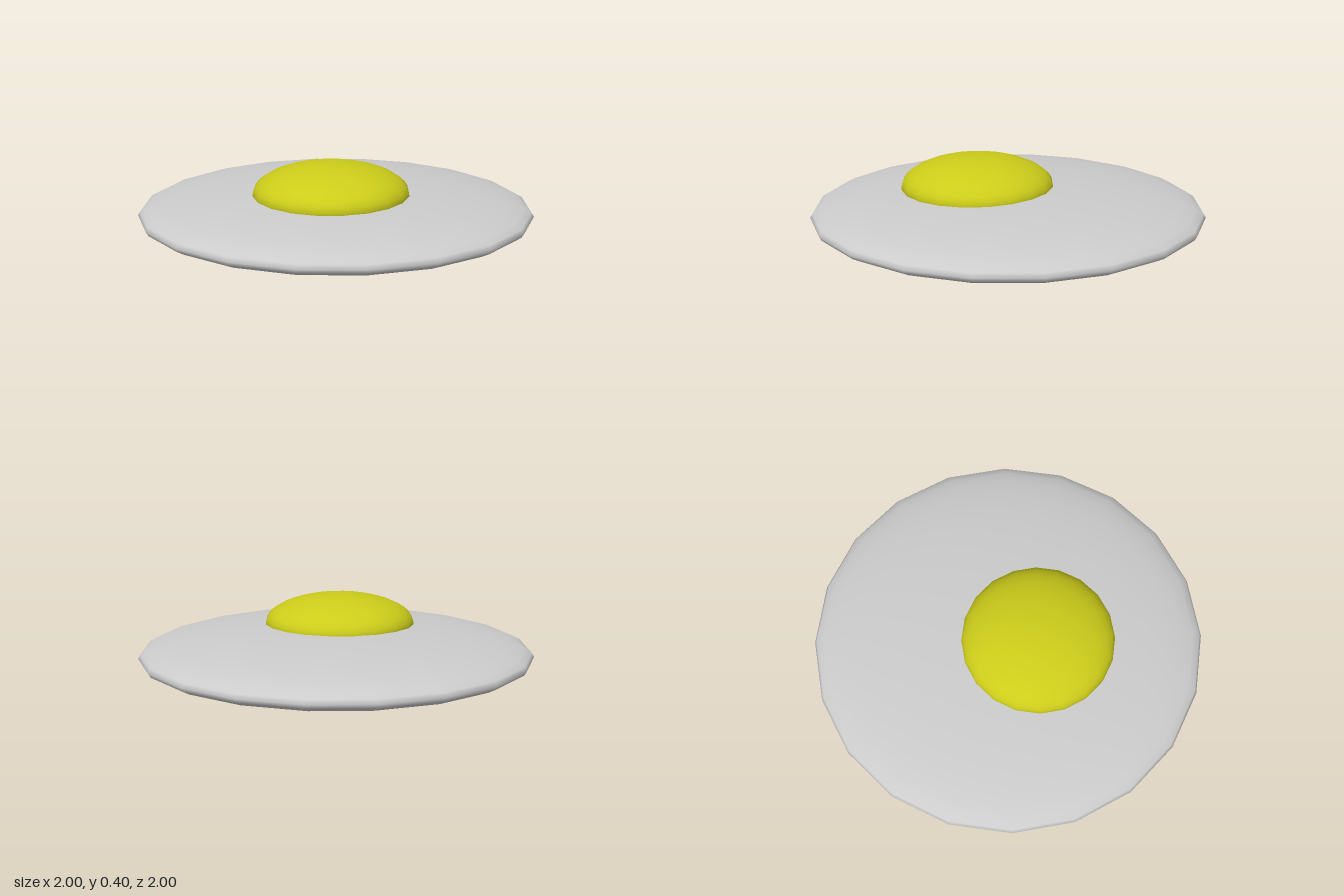
import * as THREE from 'three';

// Squashed smooth sphere with a 20-sided outline
function ellipsoid(name, color, radius, halfHeight, x, y, z) {
  const geometry = new THREE.SphereGeometry(1, 20, 20);
  geometry.scale(radius, halfHeight, radius);
  const mesh = new THREE.Mesh(geometry, new THREE.MeshStandardMaterial({ color }));
  mesh.name = name;
  mesh.position.set(x, y, z);
  return mesh;
}

export function createModel() {
  const group = new THREE.Group();
  group.name = 'friedEgg';

  // Wide flat white
  group.add(ellipsoid('eggWhite', 0xcccccc, 1, 0.13, 0, 0.13, 0));

  // Off-centre yolk, its lower half sunk in the white
  group.add(ellipsoid('yolk', 0xcccc1a, 0.39, 0.15, 0.095, 0.25, 0.125));

  return group;
}
